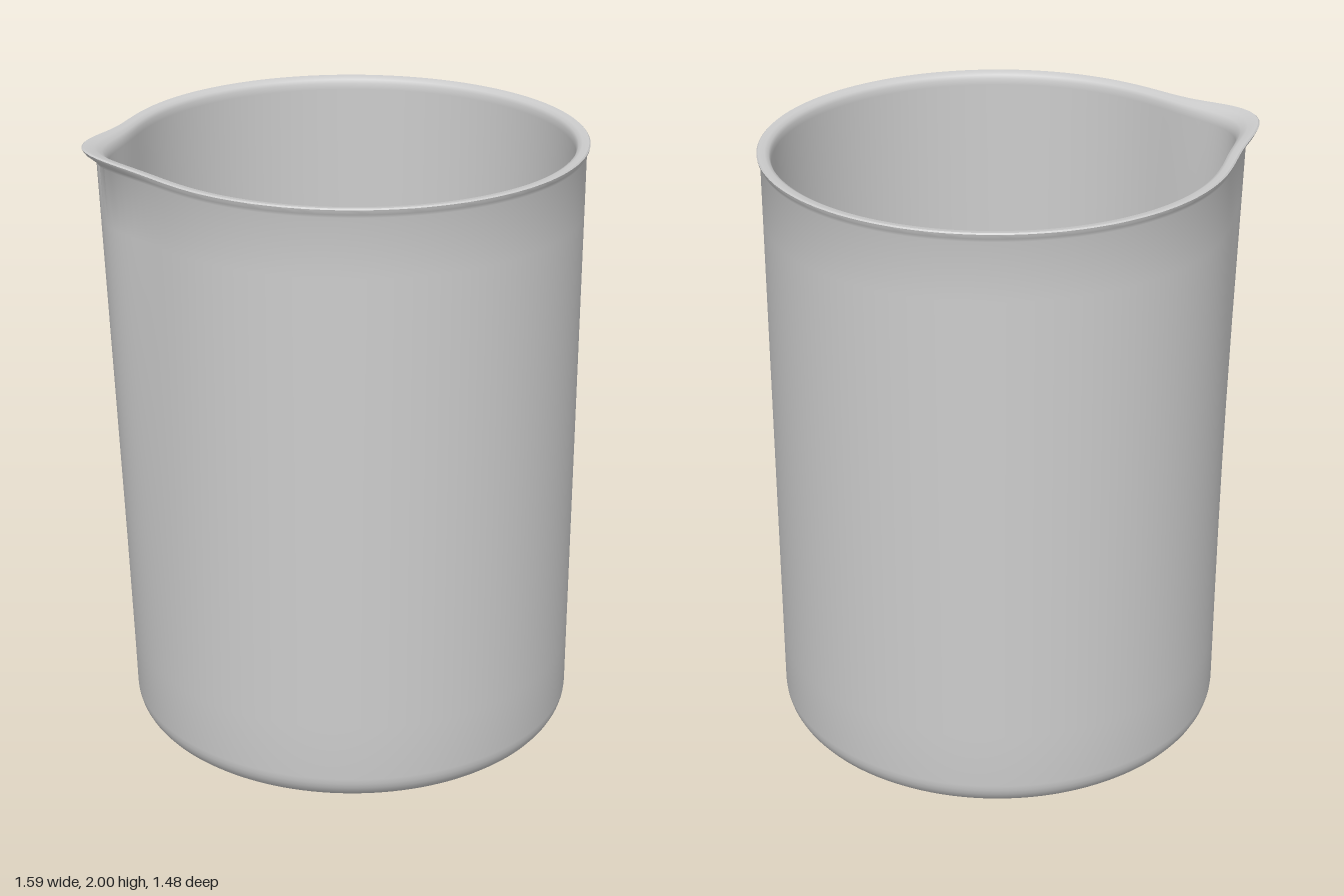
import * as THREE from 'three';
import { mergeVertices, toCreasedNormals } from 'three/addons/utils/BufferGeometryUtils.js';

const CENTER_X = 0.055;

// Profile entries: [radius, height, outward spout push, upward spout lift]
const wallPush = (y) => 0.075 * Math.max(0, (y - 0.1) / 1.85);

function buildProfile() {
  const p = [[0, 0, 0, 0], [0.64, 0, 0, 0]];
  // rounded outer base
  for (let i = 1; i <= 8; i++) {
    const t = (i / 8) * Math.PI / 2;
    p.push([0.64 + 0.09 * Math.sin(t), 0.09 - 0.09 * Math.cos(t), 0, 0]);
  }
  // outer wall
  for (let i = 1; i <= 10; i++) {
    const y = 0.09 + i * 0.186;
    p.push([0.73, y, wallPush(y), 0]);
  }
  // flared rim
  p.push([0.733, 1.96, 0.085, 0.004], [0.739, 1.97, 0.104, 0.014], [0.74, 1.976, 0.11, 0.02],
    [0.736, 1.98, 0.109, 0.02], [0.715, 1.978, 0.095, 0.014], [0.703, 1.972, 0.084, 0.005],
    [0.697, 1.96, 0.076, 0]);
  // inner wall
  for (let i = 0; i <= 10; i++) {
    const y = 1.94 - i * 0.182;
    p.push([0.697, y, wallPush(y), 0]);
  }
  // rounded inner base
  for (let i = 1; i <= 8; i++) {
    const t = (i / 8) * Math.PI / 2;
    p.push([0.607 + 0.09 * Math.cos(t), 0.12 - 0.09 * Math.sin(t), 0, 0]);
  }
  p.push([0, 0.03, 0, 0]);
  return p;
}

export function createModel() {
  const glass = new THREE.MeshStandardMaterial({ color: 0xcccccc });
  glass.name = 'light grey';

  const profile = buildProfile();
  let geo = new THREE.LatheGeometry(profile.map(([r, y]) => new THREE.Vector2(r, y)), 144);

  // Pull the wall and rim out toward -x to form the pouring spout
  const pos = geo.attributes.position;
  for (let i = 0; i < pos.count; i++) {
    const [r, y, push, lift] = profile[i % profile.length];
    const x = pos.getX(i), z = pos.getZ(i);
    const angle = Math.atan2(z, -x);
    const near = Math.exp(-((angle / 0.25) ** 2));
    const high = Math.exp(-((angle / 0.29) ** 2));
    const k = r > 0 ? (r + push * near) / r : 1;
    pos.setXYZ(i, x * k, y + lift * high, z * k);
  }

  // Weld the seam, then smooth everything but the sharp edges
  geo.deleteAttribute('uv');
  geo.deleteAttribute('normal');
  geo = toCreasedNormals(mergeVertices(geo, 1e-5), 0.7);

  const beaker = new THREE.Mesh(geo, glass);
  beaker.name = 'beakerWithSpout';
  beaker.position.x = CENTER_X;

  const group = new THREE.Group();
  group.name = 'beaker';
  group.add(beaker);
  return group;
}
